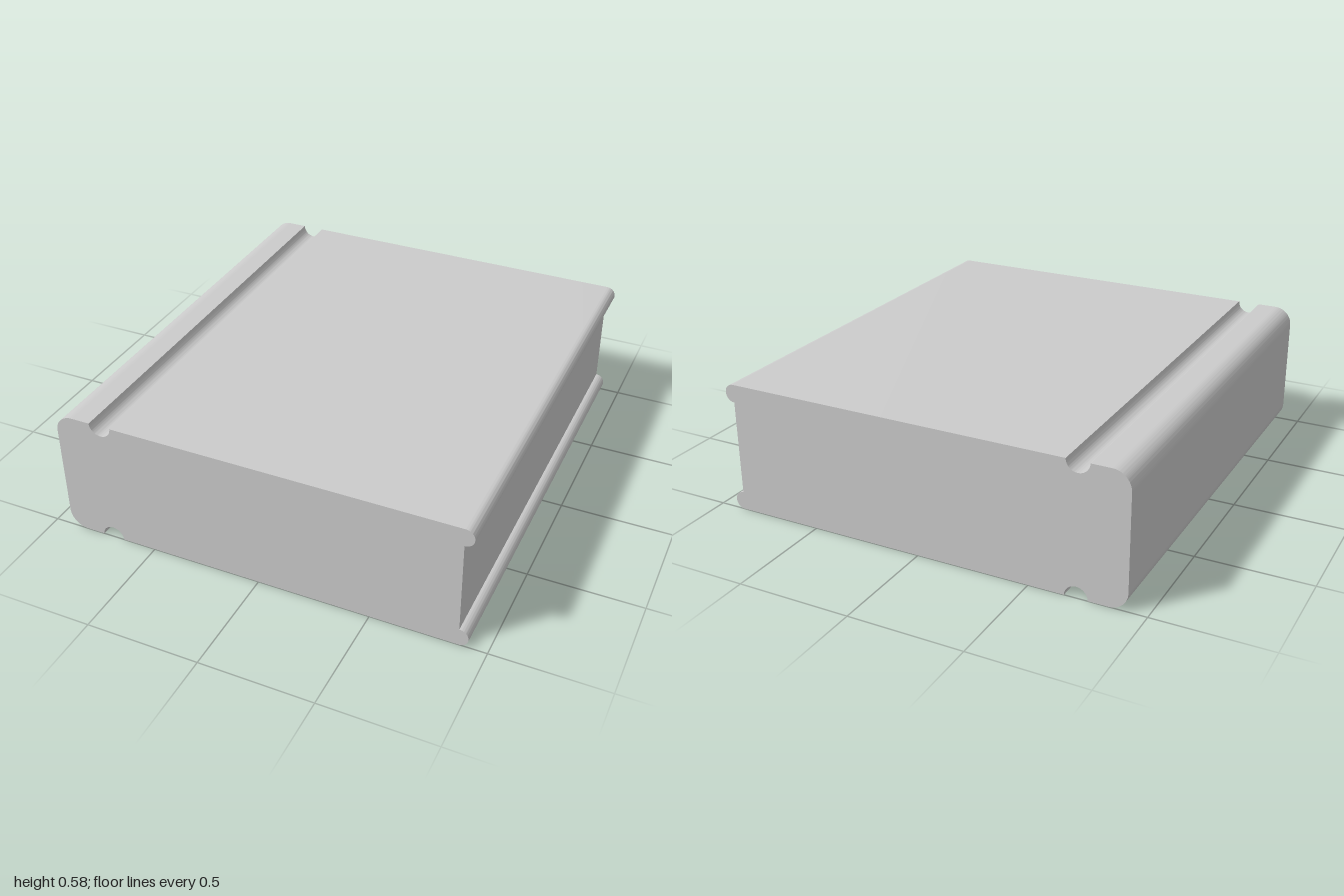
import * as THREE from 'three';
import { toCreasedNormals } from 'three/addons/utils/BufferGeometryUtils.js';

const H = 0.582;         // thickness of the closed book
const DEPTH = 2;         // length along z
const LEFT = -0.92;      // outer face of the spine
const EDGE = 0.88;       // fore-edge of the pages
const CORNER = 0.08;     // rounding of the spine
const BEAD = 0.04;       // rounded lip of each cover
const GROOVE = 0.05;     // hinge groove radius
const GROOVE_X = -0.705;

export function createModel() {
  const group = new THREE.Group();
  group.name = 'closedBook';
  const P = Math.PI;

  // Cross-section, counter-clockwise; arcs join up with straight runs
  const s = new THREE.Shape();
  s.moveTo(LEFT + CORNER, 0);
  s.absarc(GROOVE_X, 0, GROOVE, P, 0, true);               // lower hinge groove
  s.absarc(EDGE, BEAD, BEAD, -P / 2, P / 2, false);        // lower cover lip
  s.absarc(EDGE, H - BEAD, BEAD, -P / 2, P / 2, false);    // upper cover lip
  s.absarc(GROOVE_X, H, GROOVE, 0, -P, true);              // upper hinge groove
  s.absarc(LEFT + CORNER, H - CORNER, CORNER, P / 2, P, false);   // spine corners
  s.absarc(LEFT + CORNER, CORNER, CORNER, P, 1.5 * P, false);

  const geometry = new THREE.ExtrudeGeometry(s, {
    depth: DEPTH, bevelEnabled: false, curveSegments: 20,
  });
  geometry.translate(0, 0, -DEPTH / 2);

  const body = new THREE.Mesh(
    toCreasedNormals(geometry, 0.6),
    new THREE.MeshStandardMaterial({ color: 0xcccccc }),
  );
  body.name = 'bookBody';
  group.add(body);
  return group;
}
